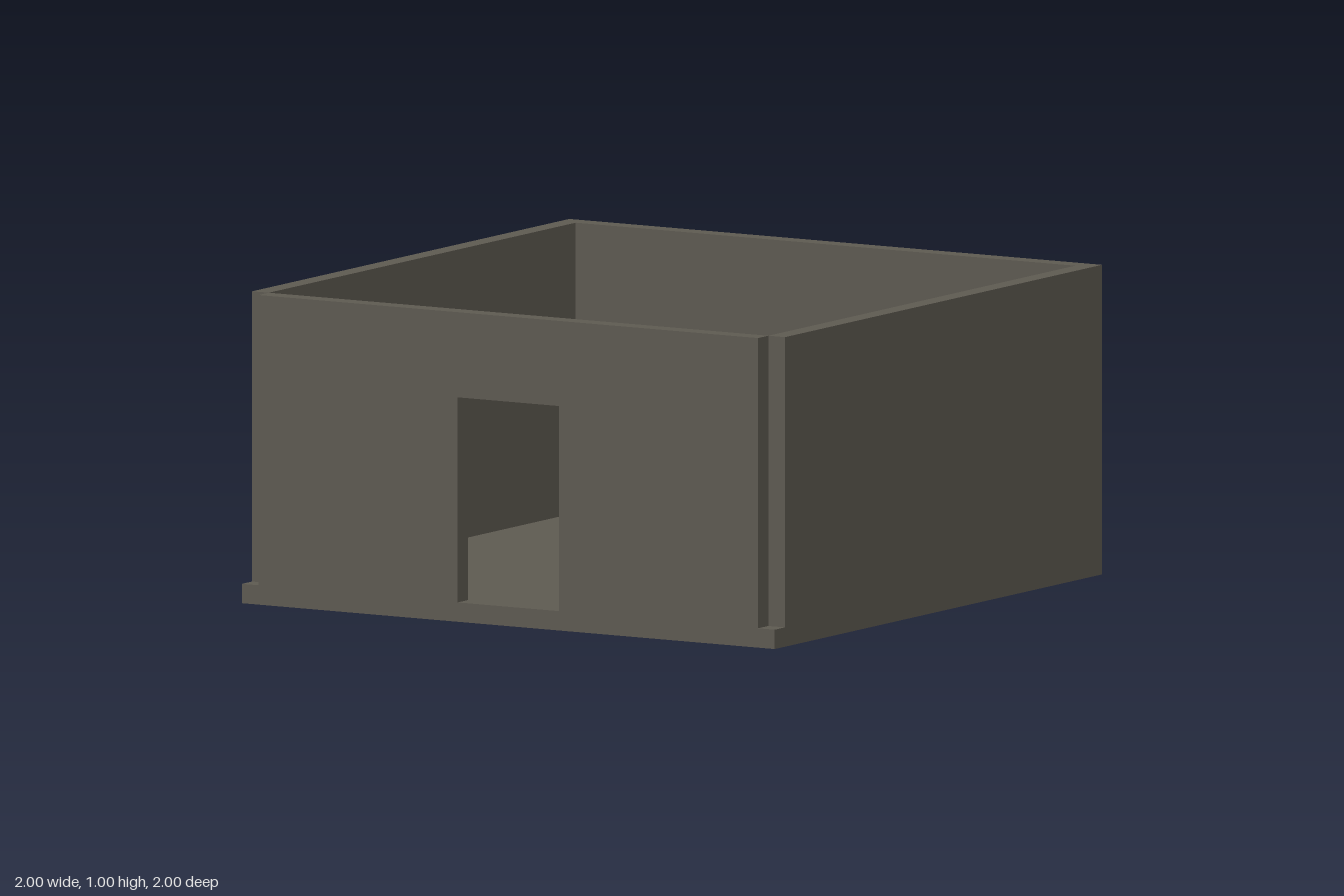
import * as THREE from 'three';

const T = 0.0625; // wall and floor thickness
const H = 1; // overall height

export function createModel() {
  const group = new THREE.Group();
  const stone = new THREE.MeshStandardMaterial({ color: 0x5e5a51 });
  stone.name = 'grey brown stone';

  const add = (name, geometry, x, y, z) => {
    const mesh = new THREE.Mesh(geometry, stone);
    mesh.name = name;
    mesh.position.set(x, y, z);
    group.add(mesh);
  };

  // Floor slab
  add('floor', new THREE.BoxGeometry(2, T, 2), 0, T / 2, 0);

  // Side walls stop one wall thickness short of the front edge
  const wallHeight = H - T;
  const wallY = T + wallHeight / 2;
  for (const [name, side] of [['leftWall', 1], ['rightWall', -1]]) {
    add(name, new THREE.BoxGeometry(T, wallHeight, 2 - T), side * (1 - T / 2), wallY, -T / 2);
  }

  // Back wall between the side walls
  add('backWall', new THREE.BoxGeometry(2 - 2 * T, wallHeight, T), 0, wallY, -1 + T / 2);

  // Front wall, one outline notched by the doorway
  const halfWidth = 1 - T;
  const doorHalf = 0.19;
  const doorTop = 0.725;
  const outline = new THREE.Shape([
    [-halfWidth, T], [-doorHalf, T], [-doorHalf, doorTop], [doorHalf, doorTop],
    [doorHalf, T], [halfWidth, T], [halfWidth, H], [-halfWidth, H],
  ].map(([x, y]) => new THREE.Vector2(x, y)));
  add('frontWall', new THREE.ExtrudeGeometry(outline, { depth: T, bevelEnabled: false }), 0, 0, 1 - T);

  return group;
}
